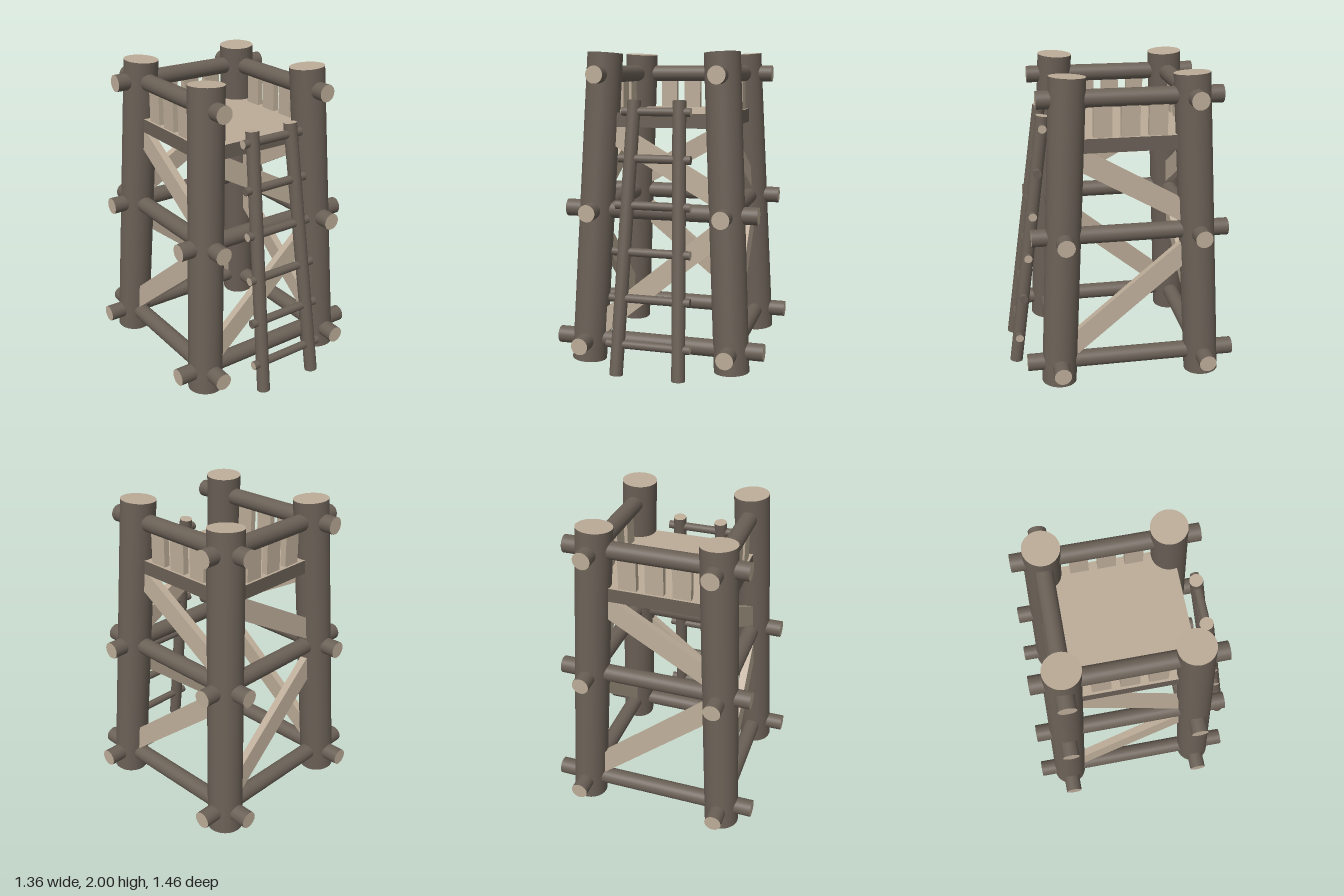
import * as THREE from 'three';

const bark = new THREE.MeshStandardMaterial({ color: 0x6a6056 });
const cutWood = new THREE.MeshStandardMaterial({ color: 0xbcac98 });

const CENTER_Z = -0.053;
// distance of the leaning leg axes from the tower's centre at height y
const spread = (y) => 0.478 - 0.0515 * y;
const V = (x, y, z) => new THREE.Vector3(x, y, z);

// round log between two points, bark on the side and cut wood on the ends
function log(name, a, b, radius, segments = 32, ends = cutWood) {
  const dir = b.clone().sub(a);
  const geometry = new THREE.CylinderGeometry(radius, radius, dir.length(), segments);
  const mesh = new THREE.Mesh(geometry, [bark, ends, ends]);
  mesh.name = name;
  mesh.position.copy(a).lerp(b, 0.5);
  mesh.quaternion.setFromUnitVectors(V(0, 1, 0), dir.normalize());
  return mesh;
}

function board(name, w, h, d, material = cutWood) {
  const mesh = new THREE.Mesh(new THREE.BoxGeometry(w, h, d), material);
  mesh.name = name;
  return mesh;
}

// diagonal plank lying in the plane of one leaning side
function brace(name, y, length, angle) {
  const mesh = board(name, length, 0.13, 0.05);
  mesh.position.set(0, y, spread(y));
  mesh.rotation.set(-Math.atan(0.0515), 0, angle);
  return mesh;
}

function createTower() {
  const tower = new THREE.Group();
  tower.name = 'tower';
  tower.position.z = CENTER_Z;

  // four leaning legs
  const low = 0.011, high = 1.99;
  for (const sx of [-1, 1]) for (const sz of [-1, 1]) {
    const at = (y) => V(sx * spread(y), y, sz * spread(y));
    tower.add(log(sz > 0 ? 'frontLeg' : 'backLeg', at(low), at(high), 0.112, 48));
  }

  // platform with bark edges
  const platform = board('platform', 0.85, 0.09, 0.85,
    [bark, bark, cutWood, cutWood, bark, bark]);
  platform.position.y = 1.575;
  tower.add(platform);

  // each side: cross beams, braces and railing slats; the front stays open on top
  ['front', 'left', 'back', 'right'].forEach((sideName, i) => {
    const side = new THREE.Group();
    side.name = sideName + 'Side';
    side.rotation.y = i * Math.PI / 2;

    for (const [y, half] of [[0.15, 0.68], [1.003, 0.624], [1.857, 0.568]]) {
      if (i === 0 && y > 1.5) continue;
      const z = spread(y);
      side.add(log('crossBeam', V(-half, y, z), V(half, y, z), 0.055));
    }

    side.add(brace('lowerBrace', 0.57, 1.05, 0.69));
    side.add(brace('upperBrace', 1.315, 0.9, -0.51));

    if (i > 0) for (const x of [-0.17, 0, 0.17]) {
      const slat = board('railingSlat', 0.115, 0.22, 0.04);
      slat.position.set(x, 1.725, 0.39);
      side.add(slat);
    }
    tower.add(side);
  });
  return tower;
}

function createLadder() {
  const ladder = new THREE.Group();
  ladder.name = 'ladder';
  const bottom = V(0.2, 0.018, 0.69), top = V(0.143, 1.703, 0.455);

  // two converging rails
  for (const s of [-1, 1]) {
    const side = V(s, 1, 1);
    ladder.add(log('ladderRail', bottom.clone().multiply(side), top.clone().multiply(side), 0.042, 24));
  }

  // six rungs, shorter towards the top
  for (let i = 0; i < 6; i++) {
    const y = 0.212 + i * 0.2845;
    const p = bottom.clone().lerp(top, (y - bottom.y) / (top.y - bottom.y));
    const half = p.x + 0.073;
    ladder.add(log('ladderRung', V(-half, y, p.z), V(half, y, p.z), 0.027, 20,
      i % 3 === 1 ? bark : cutWood));
  }
  return ladder;
}

export function createModel() {
  const model = new THREE.Group();
  model.name = 'watchtower';
  model.add(createTower(), createLadder());
  return model;
}
